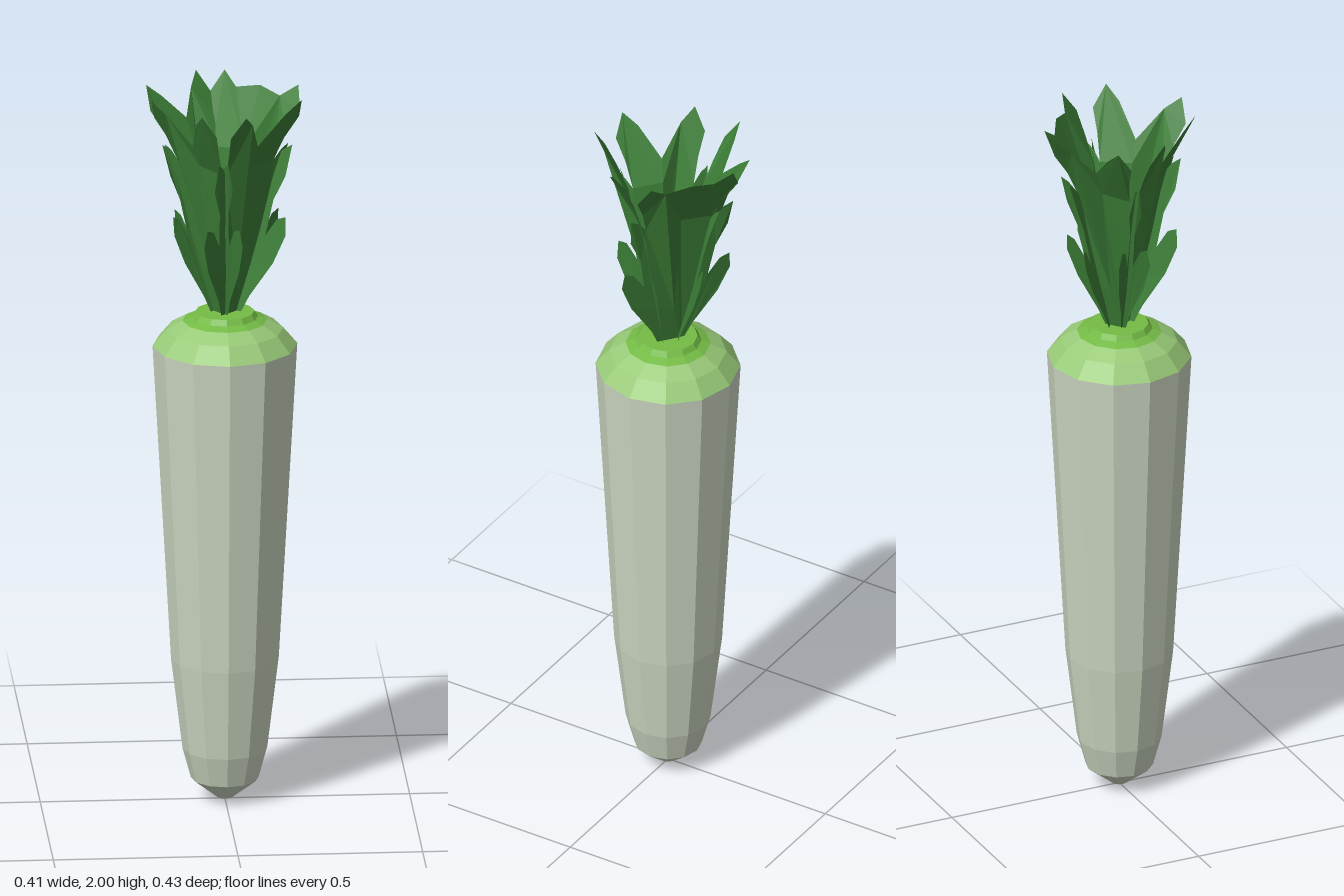
import * as THREE from 'three';

const material = (name, color, side = THREE.FrontSide) => {
  const m = new THREE.MeshStandardMaterial({ color, side, flatShading: true });
  m.name = name;
  return m;
};

// Twelve-sided turned section, profile given bottom to top as [radius, y]
function turned(name, profile, mat) {
  const points = profile.map(([r, y]) => new THREE.Vector2(r, y));
  const mesh = new THREE.Mesh(new THREE.LatheGeometry(points, 12), mat);
  mesh.name = name;
  return mesh;
}

// Outward lean of a leaf: [height, radius]
const LEAN = [[1.37, 0.018], [1.5, 0.045], [1.65, 0.07], [1.82, 0.095], [1.9, 0.13], [2, 0.185]];
function leanAt(y) {
  for (let i = 1; i < LEAN.length; i++) {
    const [y0, r0] = LEAN[i - 1], [y1, r1] = LEAN[i];
    if (y <= y1) return r0 + (r1 - r0) * (y - y0) / (y1 - y0);
  }
  return LEAN[LEAN.length - 1][1];
}

// Serrated edge of half a leaf, three lobes from base to top: [offset, y]
const EDGE = [
  [0.03, 1.37], [0.055, 1.43], [0.115, 1.53], [0.145, 1.61], [0.14, 1.66], [0.115, 1.65], [0.085, 1.6],
  [0.1, 1.7], [0.13, 1.77], [0.137, 1.855], [0.115, 1.84], [0.092, 1.81],
  [0.11, 1.88], [0.135, 1.94], [0.11, 2], [0.065, 1.965],
];

// Half blade cut from a shape, then bent outward; side mirrors it
function halfLeaf(side, spread, centre, reach, mat) {
  const rib = [centre, 1.82, 1.65, 1.5, 1.37].map(y => [0, y]);
  const shape = new THREE.Shape([...EDGE, ...rib].map(([u, y]) => new THREE.Vector2(u * side, y)));
  const geo = new THREE.ShapeGeometry(shape);
  const p = geo.attributes.position;
  for (let i = 0; i < p.count; i++) {
    const u = p.getX(i), y = p.getY(i);
    p.setXYZ(i, u * spread, y, leanAt(y) * reach - 0.03 * Math.abs(u));
  }
  geo.computeVertexNormals();
  const mesh = new THREE.Mesh(geo, mat);
  mesh.name = side > 0 ? 'leafHalfLeft' : 'leafHalfRight';
  return mesh;
}

export function createModel() {
  const rootMat = material('pale root', 0xcad5c0);
  const shoulderMat = material('light green', 0x98ca78);
  const crownMat = material('bright green', 0x74bb45);
  const leafMat = material('leaf green', 0x3c7e37, THREE.DoubleSide);

  const model = new THREE.Group();
  model.name = 'radish';

  // Long root, green shoulder and crown
  model.add(
    turned('root', [[0, 0], [0.022, 0.005], [0.092, 0.06], [0.115, 0.145], [0.146, 0.4], [0.196, 1.29]], rootMat),
    turned('shoulder', [[0.196, 1.29], [0.158, 1.335], [0.115, 1.36]], shoulderMat),
    turned('crown', [[0.115, 1.36], [0.09, 1.37], [0.08, 1.385], [0, 1.385]], crownMat),
  );

  // Leaves: [direction in degrees, spread, height of the centre tip, reach]
  const leaves = [[47, 1, 1.88, 1], [140, 0.9, 1.88, 1], [230, 0.85, 1.9, 1.15], [307, 1.08, 1.98, 1]];
  for (const [degrees, spread, centre, reach] of leaves) {
    const leaf = new THREE.Group();
    leaf.name = 'leaf';
    leaf.rotation.y = THREE.MathUtils.degToRad(90 - degrees);
    leaf.add(
      halfLeaf(1, spread, centre, reach, leafMat),
      halfLeaf(-1, spread, centre, reach, leafMat),
    );
    model.add(leaf);
  }
  return model;
}
